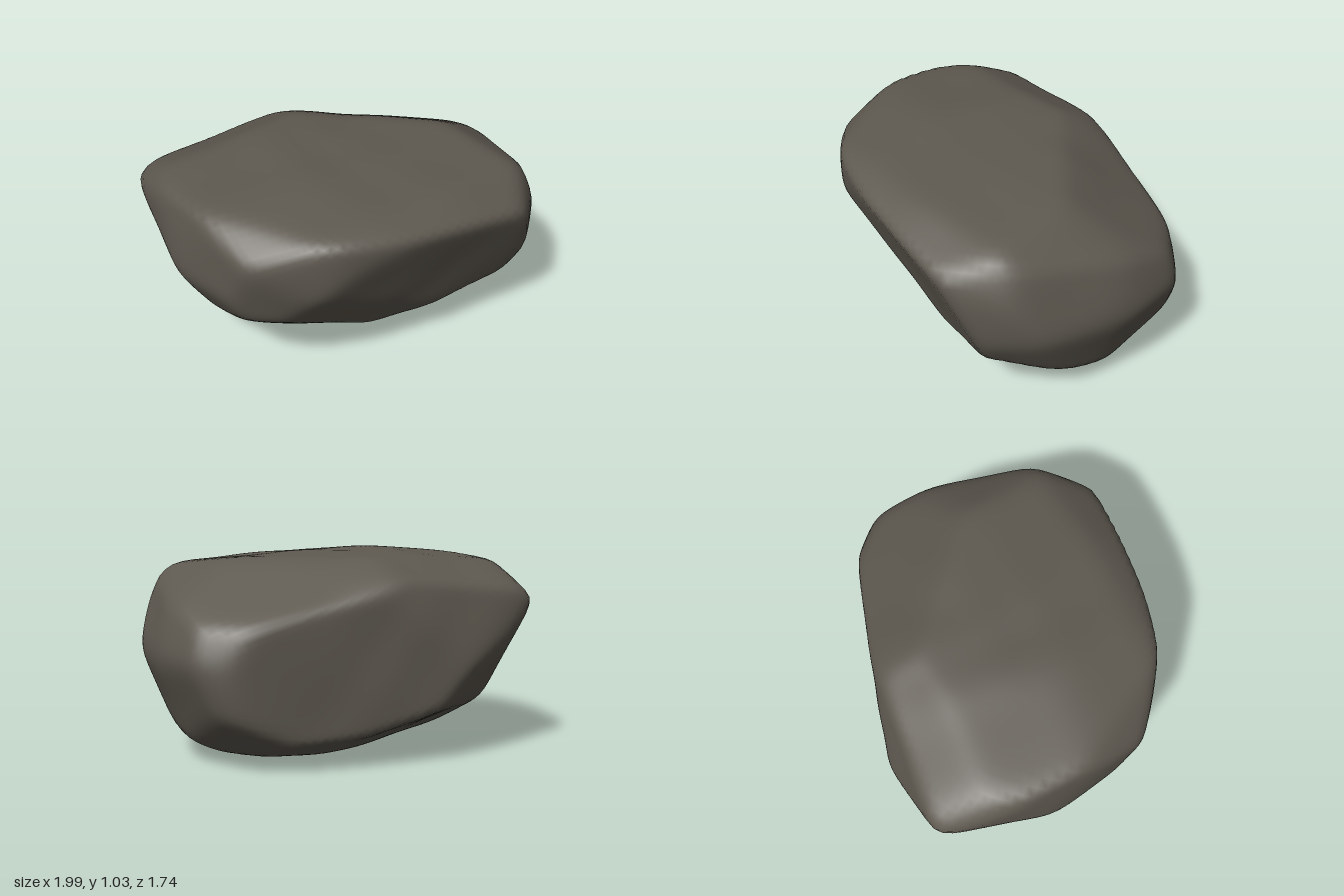
import * as THREE from 'three';
import { mergeVertices } from 'three/addons/utils/BufferGeometryUtils.js';

// Rock profiles about its middle: azimuth and elevation in degrees, then the corners clockwise
const profiles = [
  [0, 0, [[-1.02, .26], [-.8, .44], [-.15, .515], [.88, .435], [1, .18], [.98, -.01], [.78, -.34], [.45, -.465], [0, -.52], [-.53, -.425], [-.77, -.255]]],
  [90, 0, [[-.89, .33], [-.82, .455], [-.35, .515], [.3, .475], [.78, .255], [.89, -.035], [.84, -.27], [.64, -.455], [.07, -.52], [-.34, -.415], [-.76, -.055]]],
  [0, 90, [[-1.02, -.1], [-.75, .28], [.3, .87], [.55, .88], [.85, .5], [1, .22], [.94, -.23], [.6, -.55], [.15, -.8], [-.28, -.88], [-.73, -.56]]],
  [40, 25, [[-.93, .4], [-.8, .53], [-.03, .6], [.88, .3], [.99, 0], [.81, -.4], [-.08, -.52], [-.7, -.26], [-.93, .08]]],
  [220, 25, [[-.99, 0], [-.75, .6], [.02, .7], [.44, .7], [.84, .48], [.94, .1], [.65, -.42], [-.12, -.57], [-.57, -.57], [-.82, -.39]]],
  [140, -30, [[-.87, .5], [-.69, .66], [-.1, .68], [.28, .61], [.6, .35], [.75, -.17], [.57, -.47], [.24, -.61], [-.02, -.58], [-.37, -.39], [-.57, -.16]]],
];

// One facet plane along every profile edge
function facetPlanes() {
  const planes = [];
  for (const [azimuth, elevation, corners] of profiles) {
    const a = THREE.MathUtils.degToRad(azimuth), e = THREE.MathUtils.degToRad(elevation);
    const right = new THREE.Vector3(Math.cos(a), 0, -Math.sin(a));
    const up = new THREE.Vector3(-Math.sin(e) * Math.sin(a), Math.cos(e), -Math.sin(e) * Math.cos(a));
    corners.forEach(([u, v], i) => {
      const [u2, v2] = corners[(i + 1) % corners.length];
      const length = Math.hypot(u2 - u, v2 - v);
      const c = (v - v2) / length, s = (u2 - u) / length;
      const distance = Math.max(...corners.map(([p, q]) => p * c + q * s));
      planes.push({ normal: right.clone().multiplyScalar(c).addScaledVector(up, s), distance });
    });
  }
  return planes;
}

// Distance from the middle to the softly rounded intersection of the facets
function facetRadius(d, planes) {
  const sharpness = 55, overlap = 2;
  let sum = 0;
  for (const { normal, distance } of planes) {
    sum += Math.max(0, normal.dot(d) / distance) ** sharpness;
  }
  return (sum / overlap) ** (-1 / sharpness);
}

// Shallow weathered dents
function dents(d) {
  return 0.005 * (Math.sin(7 * d.x + 3 * d.z + 1) * Math.sin(6 * d.y - 4 * d.z)
    + Math.sin(8 * d.z - 5 * d.x + 2) * Math.cos(7 * d.y + 3 * d.x));
}

export function createModel() {
  const group = new THREE.Group();
  group.name = 'rock';
  const stone = new THREE.MeshStandardMaterial({ color: 0x5e5950 });
  stone.name = 'stone grey';

  // Shared vertices give the stone smooth normals
  const sphere = new THREE.IcosahedronGeometry(1, 28);
  sphere.deleteAttribute('normal');
  sphere.deleteAttribute('uv');
  const geometry = mergeVertices(sphere, 1e-4);

  const planes = facetPlanes();
  const position = geometry.attributes.position, d = new THREE.Vector3();
  for (let i = 0; i < position.count; i++) {
    d.fromBufferAttribute(position, i).normalize();
    d.multiplyScalar(facetRadius(d, planes) * (1 + dents(d)));
    position.setXYZ(i, d.x, d.y, d.z);
  }
  geometry.computeVertexNormals();

  // Stand the boulder on the ground
  geometry.computeBoundingBox();
  const boulder = new THREE.Mesh(geometry, stone);
  boulder.name = 'boulder';
  boulder.position.y = -geometry.boundingBox.min.y;
  group.add(boulder);
  return group;
}
